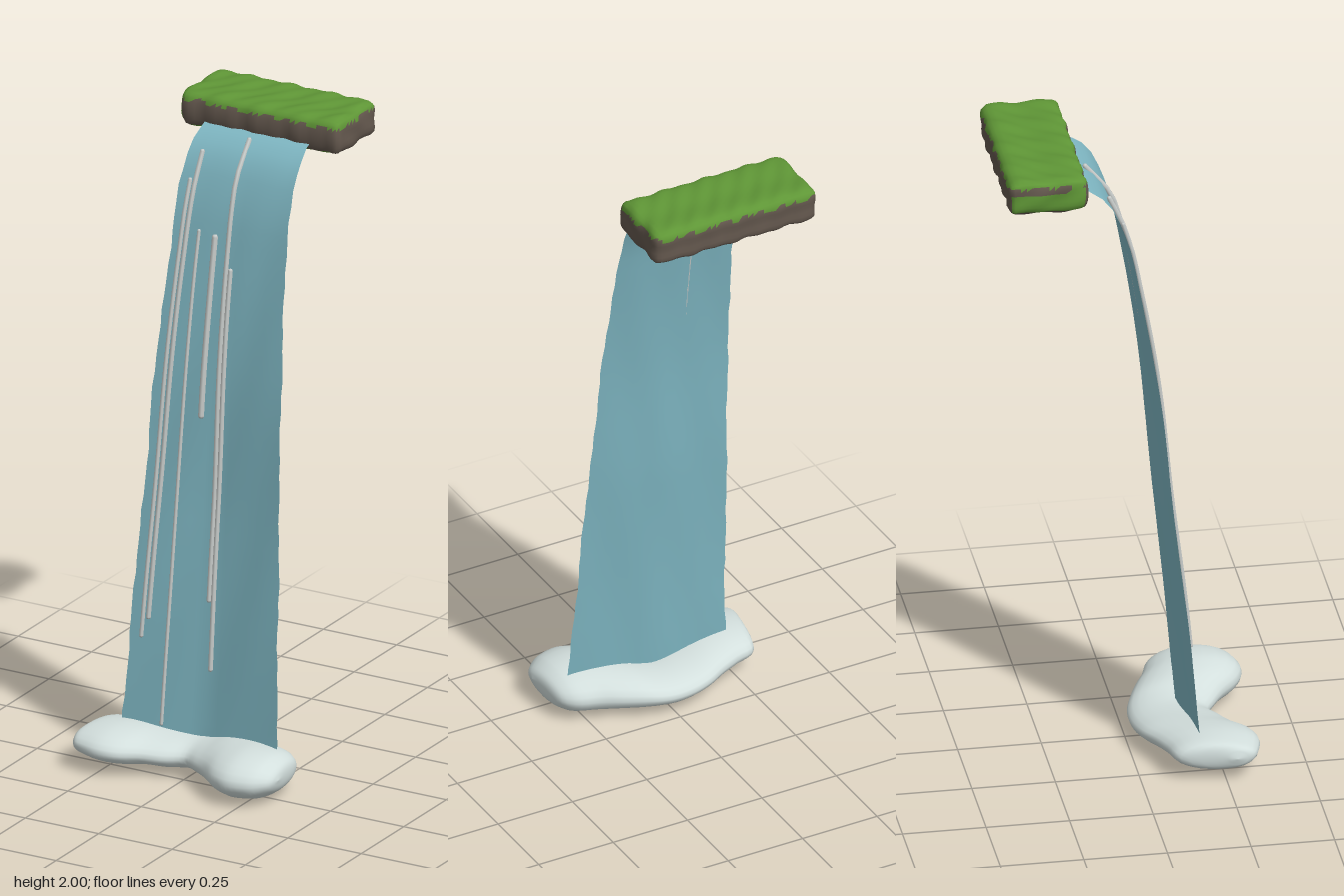
import * as THREE from 'three';
import { mergeVertices } from 'three/addons/utils/BufferGeometryUtils.js';

const mat = (name, color, side = THREE.FrontSide) => {
  const m = new THREE.MeshStandardMaterial({ color, side });
  m.name = name;
  return m;
};

// Smooth repeatable wobble in -1..1
const wobble = (a, b, c = 0) =>
  (Math.sin(a * 37 + b * 11 + 1.3) + Math.sin(b * 53 - c * 29 + 0.4) + Math.sin(c * 41 + a * 67 + 2.1)) / 3;

// Side profile of the falling water: (z, y) from lip to pool
const fall = new THREE.CatmullRomCurve3([
  [-0.18, 1.925], [-0.138, 1.912], [-0.078, 1.865], [-0.022, 1.74], [0.014, 1.58],
  [0.07, 1.235], [0.11, 0.86], [0.155, 0.44], [0.185, 0.1],
].map(([z, y]) => new THREE.Vector3(0, y, z)));

// Water surface, u across (-1..1) and t down (0..1); the middle folds back
function waterPoint(u, t, target = new THREE.Vector3()) {
  fall.getPointAt(t, target);
  const half = 0.178 + 0.087 * t;
  const rough = Math.abs(u) * 0.005 * wobble(t, u, t * 0.7);
  target.x = 0.015 + u * (half + rough);
  target.z -= 0.028 * (1 - Math.abs(u)) * Math.min(1, t * 1.6);
  target.z += 0.004 * wobble(u * 0.12, t * 0.3, t * 0.4) * Math.min(1, t * 4);
  return target;
}

function waterSheet(material) {
  const geo = new THREE.PlaneGeometry(2, 1, 12, 40);
  const pos = geo.attributes.position, p = new THREE.Vector3();
  for (let i = 0; i < pos.count; i++) {
    waterPoint(pos.getX(i), 0.5 - pos.getY(i), p);
    pos.setXYZ(i, p.x, p.y, p.z);
  }
  geo.computeVertexNormals();
  return new THREE.Mesh(geo, material);
}

// Thin streak lying just in front of the water
function streak([x0, y0, x1, y1, r], material) {
  const pts = [];
  for (let i = 0; i <= 14; i++) {
    const k = i / 14, x = x0 + (x1 - x0) * k, y = y0 + (y1 - y0) * k;
    let lo = 0, hi = 1;
    for (let n = 0; n < 20; n++) {
      const mid = (lo + hi) / 2;
      if (fall.getPointAt(mid).y > y) lo = mid; else hi = mid;
    }
    const p = waterPoint((x - 0.015) / (0.178 + 0.087 * lo), lo);
    pts.push(new THREE.Vector3(x, y, p.z + 0.009));
  }
  const group = new THREE.Group();
  const tube = new THREE.TubeGeometry(new THREE.CatmullRomCurve3(pts), 28, r, 6);
  group.add(new THREE.Mesh(tube, material));
  for (const end of [pts[0], pts[14]]) {
    const cap = new THREE.Mesh(new THREE.SphereGeometry(r, 6, 4), material);
    cap.position.copy(end);
    group.add(cap);
  }
  return group;
}

// Rounded, roughened ledge with a ragged moss cap
function ledge(rock, moss) {
  const size = new THREE.Vector3(0.54, 0.106, 0.236), r = 0.026;
  let geo = new THREE.BoxGeometry(size.x, size.y, size.z, 30, 8, 14);
  geo.deleteAttribute('normal');
  geo.deleteAttribute('uv');
  geo = mergeVertices(geo, 1e-4);
  const inner = size.clone().multiplyScalar(0.5).subScalar(r);
  const pos = geo.attributes.position;
  const p = new THREE.Vector3(), core = new THREE.Vector3();
  for (let i = 0; i < pos.count; i++) {
    p.fromBufferAttribute(pos, i);
    core.copy(p).clamp(inner.clone().negate(), inner);
    const w = wobble(p.x * 1.3, p.y * 1.4, p.z * 1.5);
    p.sub(core).setLength(r + 0.006 * w).add(core);
    pos.setXYZ(i, p.x + 0.02, p.y + 1.943, p.z - 0.268);
  }
  geo.computeVertexNormals();
  // Sort triangles into stone and moss by a ragged height line
  const idx = geo.index.array, stone = [], green = [];
  for (let i = 0; i < idx.length; i += 3) {
    const tri = [idx[i], idx[i + 1], idx[i + 2]];
    const mean = (f) => (f(tri[0]) + f(tri[1]) + f(tri[2])) / 3;
    const x = mean((n) => pos.getX(n)), y = mean((n) => pos.getY(n)), z = mean((n) => pos.getZ(n));
    (y > 1.972 + 0.012 * wobble(x * 1.6, z, z * 2) ? green : stone).push(...tri);
  }
  geo.setIndex([...stone, ...green]);
  geo.addGroup(0, stone.length, 0);
  geo.addGroup(stone.length, green.length, 1);
  return new THREE.Mesh(geo, [rock, moss]);
}

// Foam lofted along x from oval sections: x, back z, front z, bottom y, top y
function foam(material) {
  const sections = [
    [-0.345, 0.27, 0.29, 0.075, 0.08], [-0.336, 0.235, 0.322, 0.05, 0.105], [-0.31, 0.115, 0.346, 0.033, 0.122],
    [-0.24, 0.085, 0.363, 0.022, 0.128], [-0.18, 0.06, 0.352, 0.02, 0.124], [-0.12, 0.03, 0.31, 0.018, 0.116],
    [-0.06, 0.015, 0.283, 0.012, 0.11], [0, 0.01, 0.252, 0.012, 0.108], [0.05, 0.015, 0.278, 0.012, 0.114],
    [0.1, 0.03, 0.312, 0.008, 0.126], [0.16, 0.055, 0.365, 0.004, 0.135], [0.22, 0.085, 0.387, 0, 0.14],
    [0.29, 0.11, 0.37, 0.01, 0.132], [0.328, 0.155, 0.335, 0.035, 0.112], [0.343, 0.27, 0.3, 0.07, 0.085],
  ];
  const centres = new THREE.CatmullRomCurve3(sections.map(([x, b, f, l, h]) => new THREE.Vector3(x, (l + h) / 2, (b + f) / 2)));
  const radii = new THREE.CatmullRomCurve3(sections.map(([x, b, f, l, h]) => new THREE.Vector3(x, (h - l) / 2, (f - b) / 2)));
  const rings = 56, sides = 24, verts = [], index = [];
  for (let i = 0; i <= rings; i++) {
    const c = centres.getPoint(i / rings), e = radii.getPoint(i / rings);
    const tip = i === 0 || i === rings ? 0 : 1;
    for (let j = 0; j < sides; j++) {
      const a = (j / sides) * Math.PI * 2;
      verts.push(c.x, c.y + tip * e.y * Math.sin(a), c.z + tip * e.z * Math.cos(a));
      if (i === rings) continue;
      const n = (j + 1) % sides, p = i * sides, q = p + sides;
      index.push(p + j, p + n, q + j, p + n, q + n, q + j);
    }
  }
  const geo = new THREE.BufferGeometry();
  geo.setAttribute('position', new THREE.Float32BufferAttribute(verts, 3));
  geo.setIndex(index);
  geo.computeVertexNormals();
  return new THREE.Mesh(geo, material);
}

export function createModel() {
  const model = new THREE.Group();
  model.name = 'waterfall';
  const water = mat('water blue', 0x7fb7c3, THREE.DoubleSide);
  const white = mat('foam white', 0xd3dfdd, THREE.DoubleSide);
  const pale = mat('streak grey', 0xc9cdcb);
  const rock = mat('rock brown', 0x64584e);
  const moss = mat('moss green', 0x5f9636);
  const add = (name, part) => {
    part.name = name;
    model.add(part);
  };

  add('ledge', ledge(rock, moss));
  add('waterSheet', waterSheet(water));
  add('foam', foam(white));

  // Streaks: top x, top y, bottom x, bottom y, radius
  const streaks = [
    [-0.12, 1.86, -0.175, 0.45, 0.008], [-0.14, 1.78, -0.195, 0.39, 0.007], [-0.088, 1.64, -0.118, 0.13, 0.006],
    [-0.034, 1.63, -0.038, 1.09, 0.01], [0.01, 1.905, 0.014, 0.53, 0.008], [0.027, 1.54, 0.03, 0.32, 0.008],
  ];
  streaks.forEach((s, i) => add(`streak${i + 1}`, streak(s, pale)));
  return model;
}
